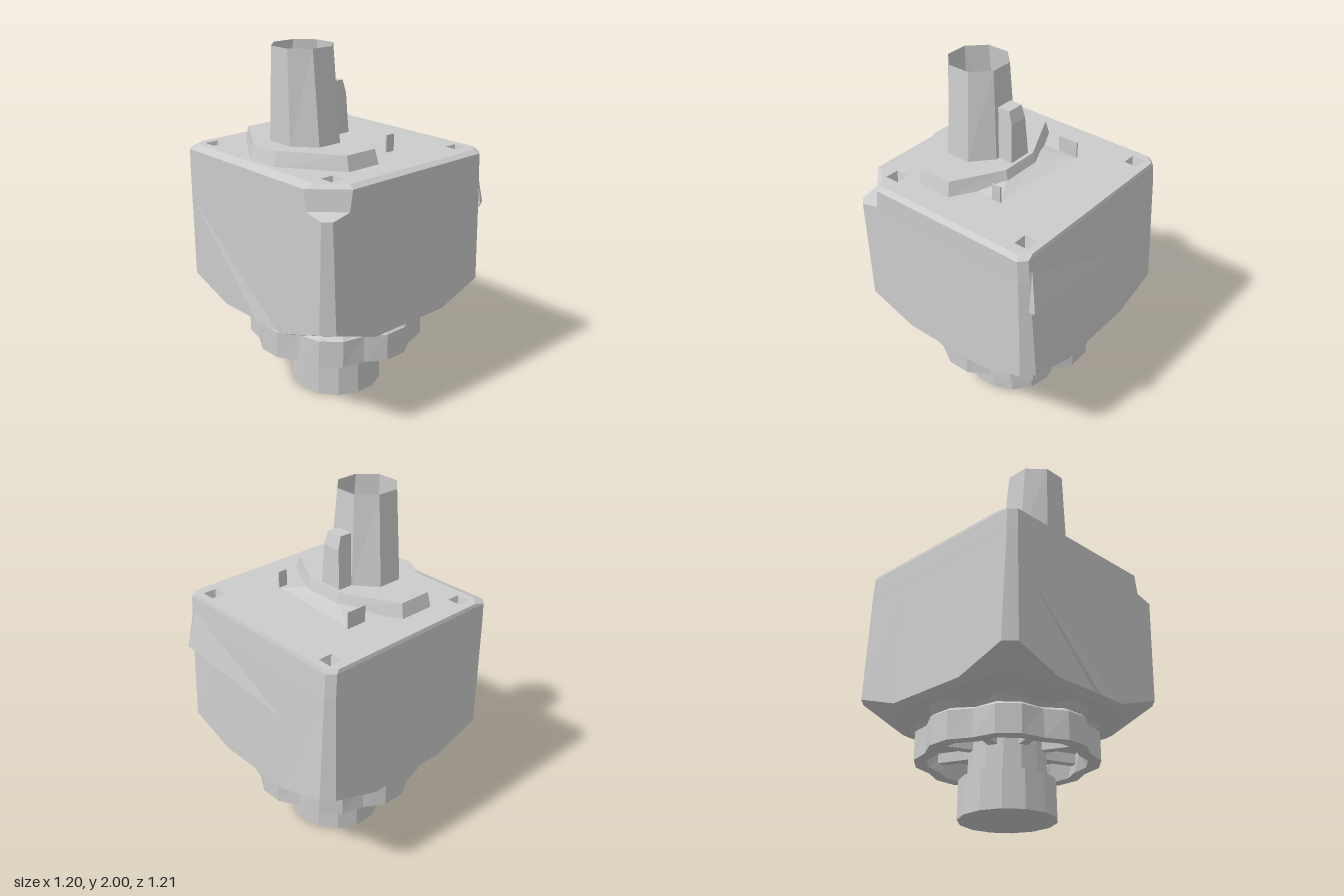
import * as THREE from 'three';

const material = new THREE.MeshStandardMaterial({ color: 0xcccccc, flatShading: true, side: THREE.DoubleSide });

function add(group, name, geometry) {
  const mesh = new THREE.Mesh(geometry, material);
  mesh.name = name;
  group.add(mesh);
  return mesh;
}

// Skin between closed rings listed from top to bottom, counterclockwise from above
function loft(rings, capTop = false, capBottom = false) {
  const n = rings[0].length;
  const index = [];
  for (let r = 0; r < rings.length - 1; r++) {
    for (let i = 0; i < n; i++) {
      const j = (i + 1) % n;
      const a = r * n + i, b = r * n + j;
      index.push(a + n, b + n, b, a + n, b, a);
    }
  }
  const last = (rings.length - 1) * n;
  for (let i = 1; i < n - 1; i++) {
    if (capTop) index.push(0, i, i + 1);
    if (capBottom) index.push(last, last + i + 1, last + i);
  }
  const g = new THREE.BufferGeometry();
  g.setAttribute('position', new THREE.Float32BufferAttribute(rings.flat(2), 3));
  g.setIndex(index);
  const flat = g.toNonIndexed();
  flat.computeVertexNormals();
  return flat;
}

const level = (pts, y) => pts.map(([x, z]) => [x, y, z]);

// Flat horizontal plate with holes; points are [x, z]
function plate(outline, holes, y) {
  const toV = ([x, z]) => new THREE.Vector2(x, -z);
  const shape = new THREE.Shape(outline.map(toV));
  holes.forEach((h) => shape.holes.push(new THREE.Path(h.map(toV))));
  return new THREE.ShapeGeometry(shape).rotateX(-Math.PI / 2).translate(0, y, 0);
}

const rect = (cx, cz, w, d) => [[cx - w, cz + d], [cx + w, cz + d], [cx + w, cz - d], [cx - w, cz - d]];

// Tapering pit sunk below a rectangular hole
function pit(group, name, cx, cz, w, d, y, depth) {
  add(group, name, loft([level(rect(cx, cz, w * 0.5, d * 0.5), y - depth), level(rect(cx, cz, w, d), y)], true));
}

// Square section with chamfered corners; notch widens the front +x chamfer
function section(xL, xR, zB, zF, c, notch = c) {
  const m = 0.25;
  return [
    [xL + c, zF], [-m, zF], [m, zF], [xR - notch, zF],
    [xR, zF - notch], [xR, m], [xR, -m], [xR, zB + c],
    [xR - c, zB], [m, zB], [-m, zB], [xL + c, zB],
    [xL, zB + c], [xL, -m], [xL, m], [xL, zF - c],
  ];
}

const isCorner = (i) => i % 4 === 0 || i % 4 === 3;

function buildHousing(group) {
  const top = section(-0.57, 0.57, -0.545, 0.545, 0.05, 0.12);
  const widest = section(-0.595, 0.6, -0.595, 0.6, 0.06);
  const lowerEdge = widest.map(([x, z], i) => [x, isCorner(i) ? 0.66 : 0.56, z]);
  const belly = widest.map(([x, z], i) => {
    const k = isCorner(i) ? 0.8 : 0.93;
    return [x * k, isCorner(i) ? 0.575 : 0.535, z * k];
  });
  const neck = widest.map(([x, z]) => {
    const r = Math.hypot(x, z);
    return [x / r * 0.48, 0.5, z / r * 0.48];
  });
  add(group, 'housing', loft([
    level(top, 1.42),
    level(section(-0.575, 0.598, -0.55, 0.6, 0.04, 0.17), 1.4),
    level(section(-0.578, 0.598, -0.558, 0.6, 0.04, 0.15), 1.29),
    level(section(-0.578, 0.598, -0.56, 0.6, 0.04), 1.265),
    lowerEdge, belly, neck,
  ]));
  // Lid with corner fixing pits
  const corners = [[0.47, -0.465], [-0.48, 0.465], [-0.48, -0.465], [0.45, 0.43]];
  add(group, 'lid', plate(top, corners.map(([x, z]) => rect(x, z, 0.04, 0.04)), 1.42));
  corners.forEach(([x, z]) => pit(group, 'fixingPit', x, z, 0.04, 0.04, 1.42, 0.09));

  // Shallow creases on the front and back walls
  add(group, 'frontCrease', loft([
    [[-0.5, 1.09, 0.6], [-0.499, 1.09, 0.601], [-0.498, 1.09, 0.6]],
    [[0, 0.57, 0.595], [0.05, 0.555, 0.612], [0.27, 0.56, 0.595]],
  ]));
  add(group, 'backCrease', loft([
    [[0.55, 1.33, -0.555], [0.54, 1.33, -0.56], [0.53, 1.33, -0.555]],
    [[0.575, 1.1, -0.57], [0.565, 1.1, -0.6], [-0.3, 0.99, -0.57]],
    [[0.57, 1.07, -0.57], [0.56, 1.075, -0.575], [-0.3, 0.98, -0.57]],
  ]));
}

function buildSpout(group) {
  // Eight-sided plinth with a socket in its floor
  const base = [[-0.1, 0.515], [0.1, 0.515], [0.425, 0.295], [0.425, 0.085],
    [0.14, -0.085], [-0.1, -0.085], [-0.43, 0.085], [-0.43, 0.295]];
  const top = base.map(([x, z]) => [x * 0.95, 0.23 + (z - 0.23) * 0.92]);
  add(group, 'plinth', loft([level(top, 1.5), level(base, 1.415)]));
  add(group, 'plinthTop', plate(top, [rect(-0.005, 0.235, 0.055, 0.065)], 1.5));
  pit(group, 'socket', -0.005, 0.235, 0.055, 0.065, 1.5, 0.1);

  // Open, tapering spout
  const octagon = (rx, rz, cz) => Array.from({ length: 8 }, (_, i) => {
    const a = (i + 0.5) * Math.PI / 4, k = 1 / Math.cos(Math.PI / 8);
    return [Math.sin(a) * rx * k, cz + Math.cos(a) * rz * k];
  });
  add(group, 'spout', loft([
    level(octagon(0.155, 0.155, 0.23), 2),
    level(octagon(0.198, 0.172, 0.22), 1.5),
  ]));

  // Rib behind the spout
  add(group, 'spoutRib', loft([
    level(rect(-0.005, 0.04, 0.05, 0.05), 1.79),
    level(rect(-0.005, 0.02, 0.055, 0.05), 1.72),
    level(rect(-0.008, 0.01, 0.07, 0.05), 1.49),
  ], true));

  // Low ramp and two thin fins behind the plinth
  add(group, 'ramp', loft([
    level([[-0.2, 0.02], [0.2, 0.02], [0.16, -0.08], [-0.12, -0.08]], 1.445),
    level([[-0.31, 0.05], [0.3, 0.05], [0.29, -0.155], [-0.31, -0.195]], 1.418),
  ], true));
  add(group, 'finRight', new THREE.BoxGeometry(0.01, 0.1, 0.12)).position.set(-0.31, 1.465, -0.137);
  add(group, 'finLeft', new THREE.BoxGeometry(0.01, 0.1, 0.055)).position.set(0.29, 1.465, -0.128);
}

function buildBase(group) {
  // Fluted collar, hollow underneath: [radius, height, flute depth]
  const profile = [[0.52, 0.525, 0.02], [0.475, 0.485, 0.05], [0.5, 0.465, 0.04], [0.5, 0.31, 0.035],
    [0.43, 0.31, 0.03], [0.4, 0.41, 0], [0.2, 0.41, 0]];
  add(group, 'collar', loft(profile.map(([r, y, f]) => Array.from({ length: 24 }, (_, i) => {
    const a = (i - 0.5) * Math.PI / 12, rr = r - (i % 3 === 2 ? f : 0);
    return [Math.sin(a) * rr, y, Math.cos(a) * rr];
  }))));
  // Ribs inside the collar
  for (let i = 0; i < 8; i++) {
    const rib = add(group, 'collarRib', new THREE.BoxGeometry(0.05, 0.06, 0.24).translate(0, 0.385, 0.3));
    rib.rotation.y = (i + 0.5) * Math.PI / 4;
  }
  add(group, 'stem', new THREE.CylinderGeometry(0.21, 0.215, 0.24, 14)).position.y = 0.31;
  add(group, 'foot', new THREE.CylinderGeometry(0.262, 0.265, 0.21, 14)).position.y = 0.105;
}

export function createModel() {
  const group = new THREE.Group();
  group.name = 'fitting';
  buildHousing(group);
  buildSpout(group);
  buildBase(group);
  return group;
}
